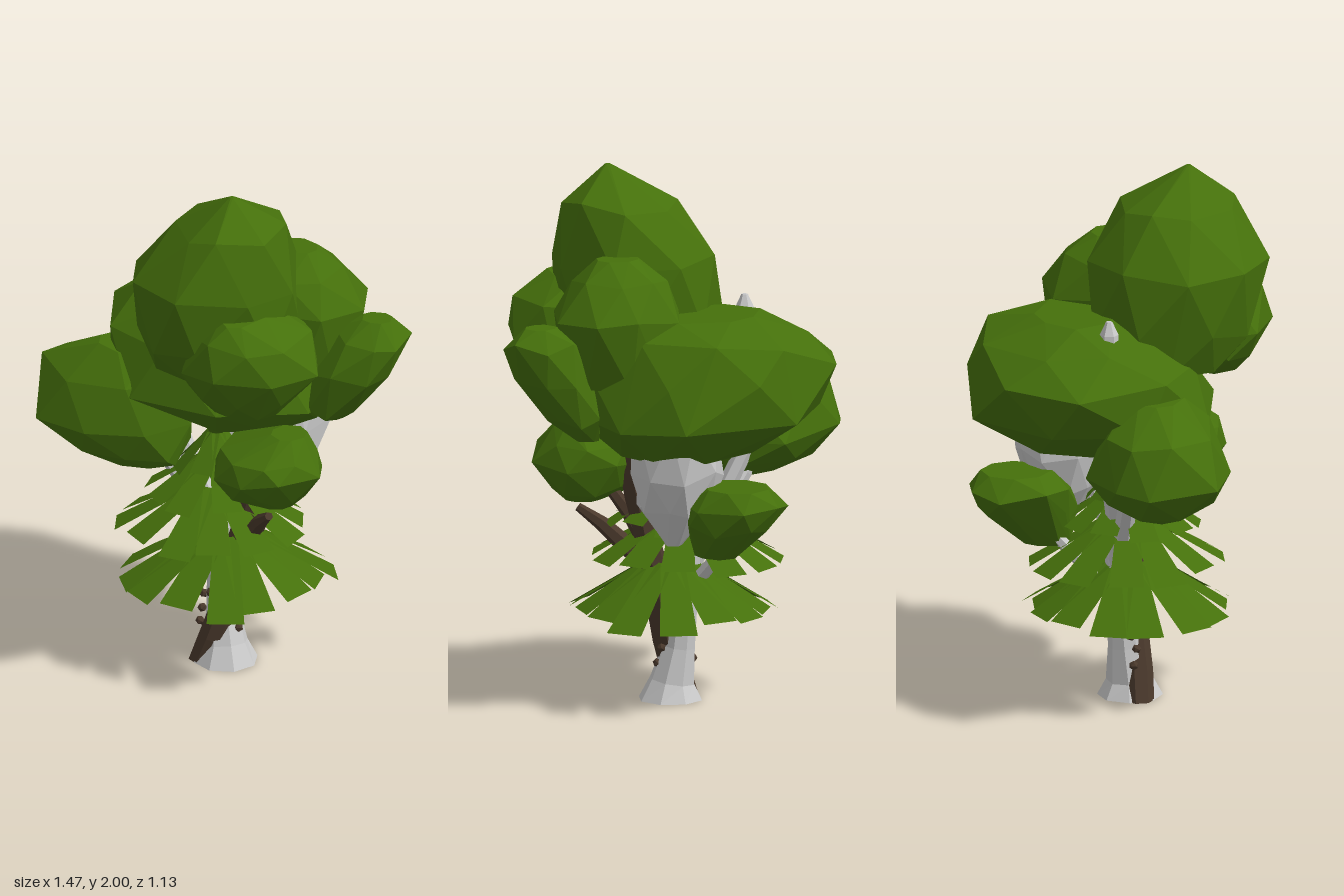
import * as THREE from 'three';
import { ConvexGeometry } from 'three/addons/geometries/ConvexGeometry.js';

const material = (name, color) => {
  const m = new THREE.MeshStandardMaterial({ color, flatShading: true });
  m.name = name;
  return m;
};

// Repeatable noise in -1..1
const noise = (a, b, seed) => {
  const s = Math.sin(a * 12.99 + b * 78.23 + seed * 4.17) * 43758.55;
  return (s - Math.floor(s)) * 2 - 1;
};

// Faceted lump: hull around staggered oval rings [y, xMin, xMax, zMin, zMax]
function lumpGeometry(rings, seed) {
  const points = [];
  const sides = 8;
  rings.forEach(([y, x0, x1, z0, z1], i) => {
    for (let j = 0; j < sides; j++) {
      const a = (j + (i % 2) / 2 + 0.2 * noise(i, j, seed)) / sides * Math.PI * 2;
      const k = 1.03 + 0.04 * noise(j, i, seed + 9);
      points.push(new THREE.Vector3(
        (x0 + x1) / 2 + Math.cos(a) * k * (x1 - x0) / 2,
        y + (i > 0 && i < rings.length - 1 ? 0.02 * noise(i + 3, j, seed) : 0),
        (z0 + z1) / 2 + Math.sin(a) * k * (z1 - z0) / 2));
    }
  });
  return new ConvexGeometry(points);
}

// Tapered limb through points [x, y, z, radius], closed at both ends
function limbGeometry(points, sides = 7) {
  const centres = points.map(q => new THREE.Vector3(q[0], q[1], q[2]));
  const up = new THREE.Vector3(0, 1, 0), pos = [], index = [];
  centres.forEach((c, i) => {
    const dir = centres[Math.min(i + 1, centres.length - 1)].clone()
      .sub(centres[Math.max(i - 1, 0)]).normalize();
    if (c.y < 0.03) dir.copy(up);
    const turn = new THREE.Quaternion().setFromUnitVectors(up, dir);
    for (let j = 0; j < sides; j++) {
      const a = j / sides * Math.PI * 2;
      const v = new THREE.Vector3(Math.sin(a), 0, Math.cos(a)).multiplyScalar(points[i][3]);
      pos.push(...v.applyQuaternion(turn).add(c).toArray());
    }
  });
  for (let i = 0; i < points.length - 1; i++) {
    for (let j = 0; j < sides; j++) {
      const a = i * sides + j, b = i * sides + (j + 1) % sides;
      index.push(a, b, b + sides, a, b + sides, a + sides);
    }
  }
  const last = (points.length - 1) * sides;
  for (let j = 1; j < sides - 1; j++) {
    index.push(0, j + 1, j, last, last + j, last + j + 1);
  }
  const geo = new THREE.BufferGeometry();
  geo.setAttribute('position', new THREE.Float32BufferAttribute(pos, 3));
  geo.setIndex(index);
  geo.computeVertexNormals();
  return geo;
}

// Ring of drooping flat blades around the trunk
function bladeGeometry({ count, inner, outer, top, bottom, w0, w1, seed }) {
  const pos = [], index = [];
  for (let i = 0; i < count; i++) {
    const a = (i + 0.15 * noise(i, 1, seed)) / count * Math.PI * 2;
    const reach = 1 + 0.08 * noise(i, 3, seed);
    const s = Math.sin(a), c = Math.cos(a);
    const rows = [[inner, top, w0], [outer * reach, bottom + (1 - reach) * 0.2, w1]];
    for (const [r, y, w] of rows) {
      for (const side of [-1, 1]) {
        pos.push(s * r + c * w * side, y, c * r - s * w * side);
      }
    }
    const k = i * 4;
    index.push(k, k + 2, k + 3, k, k + 3, k + 1);
  }
  const geo = new THREE.BufferGeometry();
  geo.setAttribute('position', new THREE.Float32BufferAttribute(pos, 3));
  geo.setIndex(index);
  geo.computeVertexNormals();
  return geo;
}

export function createModel() {
  const tree = new THREE.Group();
  tree.name = 'tree';
  const green = material('leafGreen', 0x45700b);
  green.side = THREE.DoubleSide;
  const pale = material('paleBark', 0xcacaca);
  const brown = material('darkBark', 0x4a392c);
  const add = (name, geo, mat) => {
    const mesh = new THREE.Mesh(geo, mat);
    mesh.name = name;
    tree.add(mesh);
    return mesh;
  };

  // Leaf masses, each as rings from top to bottom
  const crowns = {
    crownTop: [[2, 0.16, 0.18, 0.25, 0.27], [1.87, -0.06, 0.35, 0, 0.43], [1.65, -0.22, 0.38, -0.1, 0.54],
      [1.42, -0.22, 0.37, -0.12, 0.5], [1.28, -0.18, 0.25, -0.02, 0.4]],
    crownFront: [[1.58, 0.2, 0.35, 0.2, 0.48], [1.5, 0.07, 0.5, 0.09, 0.54], [1.38, 0.02, 0.54, 0.08, 0.56],
      [1.26, 0.06, 0.45, 0.18, 0.5], [1.2, 0.15, 0.4, 0.25, 0.45]],
    crownUpperBack: [[1.71, 0.2, 0.36, -0.1, 0.03], [1.63, 0.1, 0.45, -0.2, 0.14],
      [1.5, 0.05, 0.54, -0.28, 0.17], [1.25, 0.08, 0.48, -0.25, 0.15]],
    crownSide: [[1.485, 0.55, 0.67, -0.1, 0], [1.42, 0.45, 0.74, -0.16, 0.08], [1.28, 0.38, 0.68, -0.17, 0.14],
      [1.12, 0.36, 0.55, -0.16, 0.12], [1.04, 0.37, 0.46, -0.09, -0.02]],
    crownMain: [[1.49, -0.25, 0.2, -0.3, 0], [1.42, -0.4, 0.32, -0.5, 0.15], [1.3, -0.53, 0.43, -0.54, 0.28],
      [1.12, -0.46, 0.45, -0.56, 0.38], [0.98, -0.2, 0.3, -0.38, 0.15]],
    crownLeft: [[1.25, -0.45, -0.2, 0.05, 0.25], [1.14, -0.67, -0.1, -0.05, 0.36], [0.97, -0.73, -0.08, -0.1, 0.42],
      [0.86, -0.6, -0.1, -0.05, 0.36], [0.81, -0.48, -0.12, 0.05, 0.28]],
    crownLowFront: [[1.05, 0.3, 0.43, 0.1, 0.25], [0.98, 0.12, 0.47, 0.02, 0.38], [0.9, 0.08, 0.5, 0, 0.4],
      [0.8, 0.13, 0.42, 0.05, 0.33], [0.76, 0.25, 0.38, 0.12, 0.25]],
    crownLowBack: [[0.88, -0.15, 0.08, -0.5, -0.25], [0.82, -0.23, 0.15, -0.55, -0.16],
      [0.72, -0.16, 0.13, -0.51, -0.15], [0.6, -0.08, 0.06, -0.35, -0.17]],
  };
  Object.entries(crowns).forEach(([name, rings], i) => add(name, lumpGeometry(rings, i + 1), green));

  // Pale lump under the canopy
  add('paleLump', lumpGeometry([[1.1, -0.02, 0.28, -0.38, -0.03], [0.92, -0.05, 0.29, -0.38, -0.03],
    [0.78, 0, 0.25, -0.33, -0.06], [0.64, 0.1, 0.16, -0.22, -0.17]], 12), pale);

  // Pale trunk with a flared foot, and its branches
  add('paleTrunk', limbGeometry([
    [0.02, 0, 0.045, 0.122], [0.015, 0.07, 0.04, 0.085], [-0.005, 0.2, 0.025, 0.062],
    [-0.02, 0.4, 0.01, 0.052], [-0.03, 0.58, 0, 0.05], [0.02, 0.95, -0.04, 0.035]], 8), pale);
  const paleBranches = [
    [[-0.03, 0.5, 0, 0.04], [-0.15, 0.66, 0.02, 0.038], [-0.28, 0.83, 0.04, 0.034], [-0.36, 1, 0.06, 0.02]],
    [[-0.03, 0.54, 0, 0.035], [-0.16, 0.75, -0.01, 0.035], [-0.26, 0.95, -0.03, 0.035],
      [-0.25, 1.47, -0.03, 0.035], [-0.25, 1.52, -0.03, 0.012]],
    [[-0.02, 0.4, 0, 0.03], [-0.06, 0.56, -0.16, 0.025], [-0.08, 0.74, -0.32, 0.02]],
    [[-0.02, 0.52, 0, 0.035], [0.09, 0.66, -0.05, 0.03], [0.2, 0.79, -0.09, 0.03], [0.22, 0.9, -0.12, 0.02]],
  ];
  paleBranches.forEach(b => add('paleBranch', limbGeometry(b, 6), pale));

  // Dark trunk wound against the pale one, and its branches
  add('darkTrunk', limbGeometry([
    [-0.055, 0, 0.08, 0.055], [-0.015, 0.1, 0.075, 0.056], [0.025, 0.22, 0.06, 0.056],
    [0.075, 0.45, 0.05, 0.055], [0.13, 0.65, 0.045, 0.05], [0.17, 0.82, 0.045, 0.045],
    [0.2, 1.05, 0.03, 0.035]], 7), brown);
  const darkBranches = [
    [[0.1, 0.52, 0.05, 0.045], [0.18, 0.59, 0.11, 0.036], [0.24, 0.66, 0.17, 0.028], [0.31, 0.72, 0.23, 0.016]],
    [[0.13, 0.62, 0.04, 0.035], [0.18, 0.72, 0.08, 0.028], [0.26, 0.86, 0.16, 0.02]],
  ];
  darkBranches.forEach(b => add('darkBranch', limbGeometry(b, 6), brown));

  // Small dark knots on the bark
  const knots = [[-0.08, 0.14, 0.06], [-0.065, 0.2, 0.07], [-0.03, 0.27, 0.07], [-0.07, 0.25, 0.05],
    [0.075, 0.14, 0.045], [0.065, 0.2, 0.03]];
  knots.forEach(([x, y, z], i) => {
    const knot = add('knot', new THREE.IcosahedronGeometry(0.018, 0), brown);
    knot.position.set(x, y, z);
    knot.rotation.set(i, i * 2, 0);
  });

  // Drooping needle tiers
  const tiers = [
    { x: 0.02, count: 14, inner: 0.08, outer: 0.38, top: 0.53, bottom: 0.34, w0: 0.045, w1: 0.07, seed: 1 },
    { x: -0.03, count: 12, inner: 0.06, outer: 0.35, top: 0.71, bottom: 0.54, w0: 0.04, w1: 0.065, seed: 2 },
    { x: -0.02, count: 10, inner: 0.05, outer: 0.26, top: 0.82, bottom: 0.68, w0: 0.035, w1: 0.055, seed: 3 },
    { x: -0.02, count: 8, inner: 0.03, outer: 0.15, top: 0.92, bottom: 0.78, w0: 0.025, w1: 0.045, seed: 4 },
  ];
  tiers.forEach(t => {
    const tier = add('needleTier', bladeGeometry(t), green);
    tier.position.set(t.x, 0, 0.04);
  });

  return tree;
}
